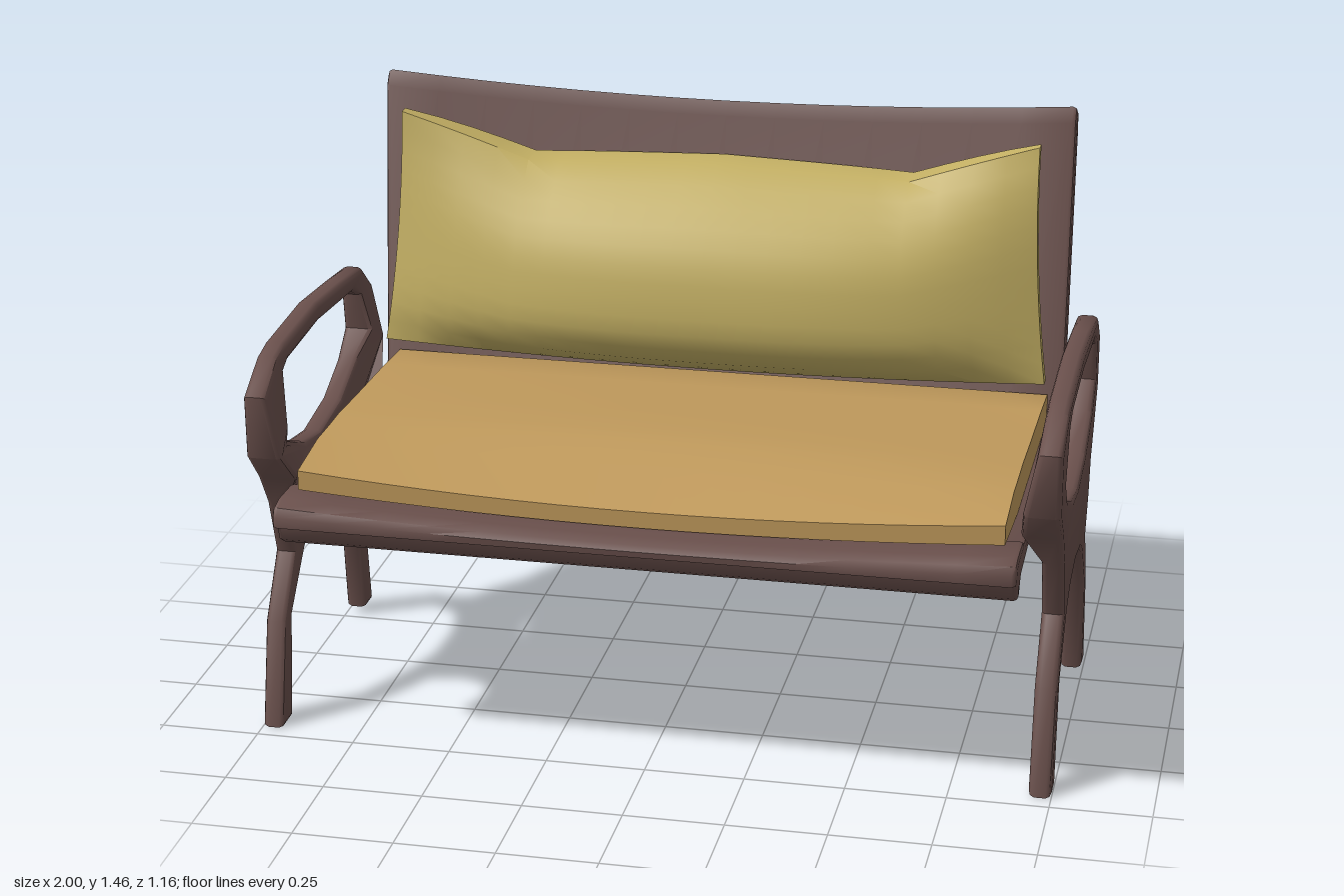
import * as THREE from 'three';
import { toCreasedNormals } from 'three/addons/utils/BufferGeometryUtils.js';

const wood = new THREE.MeshStandardMaterial({ color: 0x6a504c });
const backFabric = new THREE.MeshStandardMaterial({ color: 0xc4b064 });
const seatFabric = new THREE.MeshStandardMaterial({ color: 0xc09a5c });

// Extrudes a (z, y) side profile along x, centred on x = 0
function extrudeSide(outline, holes, width, bevel, steps) {
  const toVec = ([z, y]) => new THREE.Vector2(-z, y);
  const shape = new THREE.Shape(outline.map(toVec));
  shape.holes = holes.map((hole) => new THREE.Path(hole.map(toVec)));
  const geo = new THREE.ExtrudeGeometry(shape, {
    depth: width - 2 * bevel, steps, bevelEnabled: true, bevelThickness: bevel,
    bevelSize: bevel, bevelOffset: -bevel, bevelSegments: 2,
  });
  geo.translate(0, 0, bevel - width / 2);
  return geo.rotateY(Math.PI / 2);
}

// Moves every vertex by a rule
function reshape(geo, rule) {
  const pos = geo.attributes.position;
  const v = new THREE.Vector3();
  for (let i = 0; i < pos.count; i++) {
    v.fromBufferAttribute(pos, i);
    rule(v);
    pos.setXYZ(i, v.x, v.y, v.z);
  }
  return geo;
}

// Skins closed rings that run from -x to +x, and closes both ends
function loft(rings) {
  const n = rings[0].length;
  const index = [];
  for (let r = 0; r < rings.length - 1; r++) {
    for (let i = 0; i < n; i++) {
      const a = r * n + i, b = r * n + (i + 1) % n;
      index.push(a, a + n, b, b, a + n, b + n);
    }
  }
  // Rings hold two facing halves, so each end is closed with a strip
  const last = (rings.length - 1) * n;
  for (let i = 0; i < n / 2 - 1; i++) {
    const a = i, b = i + 1, c = n - 2 - i, d = n - 1 - i;
    index.push(a, b, c, a, c, d);
    index.push(last + a, last + c, last + b, last + a, last + d, last + c);
  }
  const geo = new THREE.BufferGeometry();
  geo.setAttribute('position', new THREE.Float32BufferAttribute(rings.flat(2), 3));
  geo.setIndex(index);
  return geo;
}

function addMesh(group, name, geo, material) {
  const mesh = new THREE.Mesh(toCreasedNormals(geo, 0.8), material);
  mesh.name = name;
  group.add(mesh);
}

// Side frame: two legs, web and arm loop in one piece
function sideFrame(side) {
  const outline = [
    [0.455, 0], [0.375, 0], [0.345, 0.27], [0.225, 0.4], [0.16, 0.435], [0.045, 0.455],
    [-0.085, 0.435], [-0.14, 0.4], [-0.245, 0.27], [-0.275, 0.02], [-0.34, 0.02],
    [-0.305, 0.265], [-0.26, 0.38], [-0.225, 0.42], [-0.275, 0.51], [-0.3, 0.6],
    [-0.355, 0.67], [-0.42, 0.76], [-0.42, 0.9], [-0.345, 0.97], [-0.175, 0.985],
    [0.04, 1.0], [0.31, 0.985], [0.38, 0.97], [0.495, 0.905], [0.49, 0.745],
    [0.41, 0.66], [0.35, 0.57], [0.3, 0.42], [0.4, 0.27],
  ];
  const hole = [
    [0.335, 0.915], [0.385, 0.8], [0.33, 0.735], [0.18, 0.675], [0.045, 0.655],
    [-0.13, 0.68], [-0.27, 0.74], [-0.34, 0.8], [-0.325, 0.9], [-0.265, 0.93],
    [0.04, 0.95], [0.295, 0.935],
  ];
  const geo = extrudeSide(outline, [hole], 0.056, 0.014, 1);
  // The inner face swells toward the seat at its front and rear ends
  return reshape(geo, (v) => {
    const swell = THREE.MathUtils.smoothstep(v.y, 0.54, 0.64)
      * THREE.MathUtils.clamp((0.92 - v.y) / 0.22, 0, 1);
    if (v.x * side < 0 && Math.abs(v.z - 0.03) > 0.35) v.x -= side * 0.045 * swell;
    v.x += side * 0.972;
  });
}

// Seat base, front rail and backrest as one bent profile
function benchBody() {
  const profile = [
    [0.53, 0.662], [0.57, 0.652], [0.582, 0.63], [0.58, 0.602], [0.55, 0.59],
    [0.537, 0.555], [0.52, 0.543], [0.502, 0.56], [0.48, 0.588], [0.34, 0.602],
    [-0.455, 0.595], [-0.477, 0.61], [-0.557, 1.4], [-0.547, 1.45], [-0.523, 1.466],
    [-0.498, 1.43], [-0.425, 0.69], [-0.4, 0.645], [0.4, 0.645], [0.43, 0.66],
  ];
  return reshape(extrudeSide(profile, [], 1.82, 0.012, 14), (v) => {
    const t = Math.max(0, 1 - (v.x / 0.91) ** 2);
    if (v.y > 0.8) v.y -= 0.04 * t * (v.y - 0.8) / 0.65;
    if (v.z > 0.3 && v.y > 0.6) v.y = 0.6 + (v.y - 0.6) * (1 - 0.45 * t);
    if (v.z < -0.41) v.z -= 0.02 * t;
  });
}

// Back cushion: bulging front, flatter back, raised upper corners
function backCushion() {
  const rings = [];
  const N = 20, M = 12;
  for (let k = 0; k <= N; k++) {
    const u = -1 + 2 * k / N, au = Math.abs(u);
    const top = au < 0.6 ? 1.295 - 0.025 * au : 1.28 + 0.115 * (au - 0.6) / 0.4;
    const bottom = 0.768 + 0.022 * u * u;
    const front = [], back = [];
    for (let j = 0; j <= M; j++) {
      const v = -1 + 2 * j / M;
      const y = bottom + (top - bottom) * j / M;
      const x = u * (0.852 - 0.02 * v - 0.012 * (1 - v * v));
      const seam = -0.31 - (0.07 + 0.045 * (1 - au ** 3)) * (y - 0.77) / 0.6;
      const bulge = 0.165 * (1 - au ** 2.6) * (1 - Math.abs(v) ** (v > 0 ? 2 : 4));
      const depth = 0.025 + 0.07 * (1 - au ** 5) * (1 - 0.15 * v ** 8);
      front.push([x, y, seam + bulge + 0.008]);
      back.unshift([x, y, seam - depth]);
    }
    rings.push([...front, ...back]);
  }
  return loft(rings);
}

// Seat cushion: low front edge dipping in the middle, ridge behind it
function seatCushion() {
  const rings = [];
  const N = 16;
  for (let k = 0; k <= N; k++) {
    const u = -1 + 2 * k / N, t = 1 - u * u, x = u * 0.87;
    const frontTop = 0.718 - 0.038 * t;
    const ridge = 0.742 + 0.02 * t;
    const upper = [
      [0.485, frontTop], [0.32, (ridge + frontTop) / 2 + 0.01], [0.22, ridge - 0.002],
      [0.14, ridge], [0, ridge - 0.006], [-0.28, 0.728], [-0.42, 0.72], [-0.44, 0.705],
    ];
    const lower = upper.map(([z]) => [x, 0.645 + Math.max(0, z - 0.25) * (0.1 - 0.13 * t), z]);
    rings.push([...upper.map(([z, y]) => [x, y, z]), ...lower.reverse()]);
  }
  return loft(rings);
}

export function createModel() {
  const bench = new THREE.Group();
  bench.name = 'bench';
  addMesh(bench, 'seatAndBackrest', benchBody(), wood);
  addMesh(bench, 'leftSideFrame', sideFrame(1), wood);
  addMesh(bench, 'rightSideFrame', sideFrame(-1), wood);
  addMesh(bench, 'backCushion', backCushion(), backFabric);
  addMesh(bench, 'seatCushion', seatCushion(), seatFabric);
  return bench;
}
